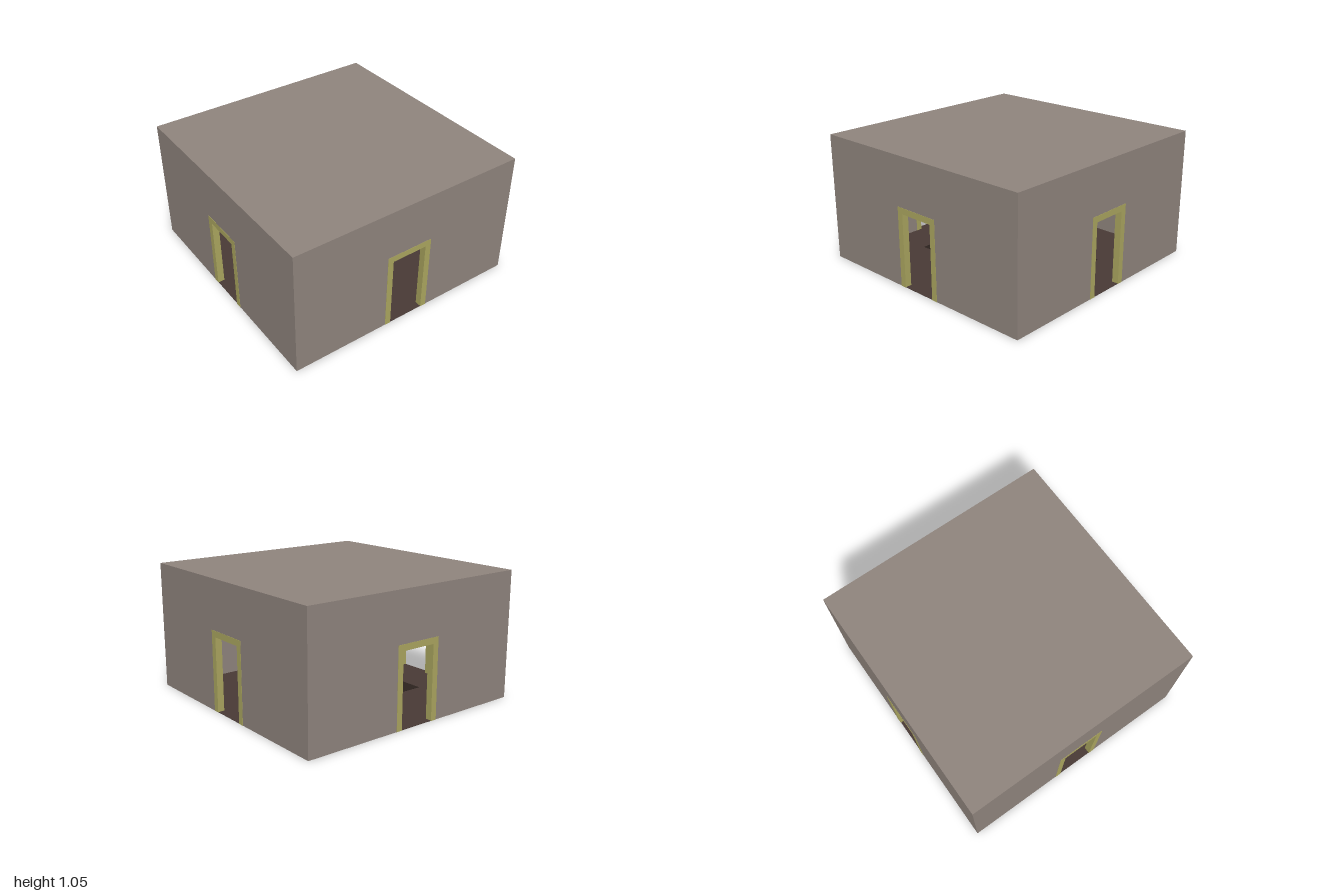
import * as THREE from 'three';

const HALF = 0.998, WALL = 0.05, HEIGHT = 1.05, ROOF = 0.05;

const wallMat = new THREE.MeshStandardMaterial({ color: 0x8f847d });
const floorMat = new THREE.MeshStandardMaterial({ color: 0x483a35 });
const matMat = new THREE.MeshStandardMaterial({ color: 0x2c221e });
const frameMat = new THREE.MeshStandardMaterial({ color: 0xaaa55f });

// Upright panel outline with a doorway notch open at the bottom
function archShape(halfWidth, height, doorHalf, doorHeight) {
  return new THREE.Shape([
    [-halfWidth, 0], [-doorHalf, 0], [-doorHalf, doorHeight], [doorHalf, doorHeight],
    [doorHalf, 0], [halfWidth, 0], [halfWidth, height], [-halfWidth, height],
  ].map(([x, y]) => new THREE.Vector2(x, y)));
}

function panel(name, shape, depth, z, material) {
  const geometry = new THREE.ExtrudeGeometry(shape, { depth, bevelEnabled: false });
  const mesh = new THREE.Mesh(geometry, material);
  mesh.name = name;
  mesh.position.z = z;
  return mesh;
}

function slab(name, w, h, d, y, material) {
  const mesh = new THREE.Mesh(new THREE.BoxGeometry(w, h, d), material);
  mesh.name = name;
  mesh.position.y = y + h / 2;
  return mesh;
}

export function createModel() {
  const room = new THREE.Group();
  room.name = 'room';

  // Four walls, each with a framed doorway; side walls fit between front and back
  ['front', 'left', 'back', 'right'].forEach((side, i) => {
    const group = new THREE.Group();
    group.name = side + 'Side';
    const halfWidth = i % 2 ? HALF - WALL : HALF;
    group.add(
      panel(side + 'Wall', archShape(halfWidth, HEIGHT - ROOF, 0.2, 0.65), WALL, HALF - WALL, wallMat),
      panel(side + 'DoorFrame', archShape(0.2, 0.65, 0.15, 0.6), WALL + 0.004, HALF - WALL - 0.002, frameMat),
    );
    group.rotation.y = i * Math.PI / 2;
    room.add(group);
  });

  // Roof, thin floor and the dark floor panel in the middle
  room.add(
    slab('roof', HALF * 2, ROOF, HALF * 2, HEIGHT - ROOF, wallMat),
    slab('floor', HALF * 2 - 0.002, 0.003, HALF * 2 - 0.002, 0, floorMat),
    slab('floorPanel', 0.8, 0.002, 1.24, 0.003, matMat),
  );
  return room;
}
